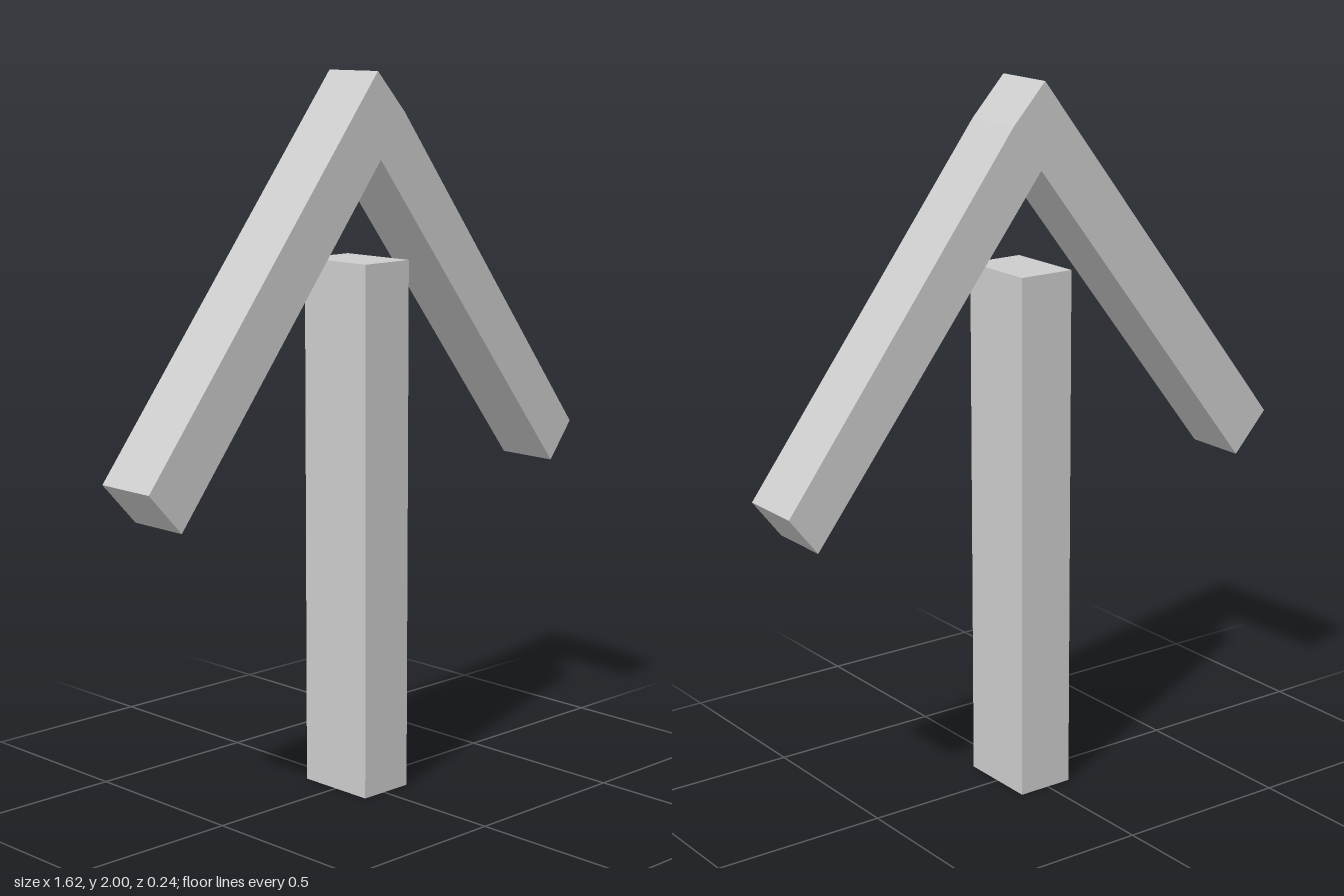
import * as THREE from 'three';

export function createModel() {
  const group = new THREE.Group();
  const material = new THREE.MeshStandardMaterial({ color: 0xcccccc, flatShading: true });

  // Upright square-edged shaft
  const shaft = new THREE.Mesh(new THREE.BoxGeometry(0.165, 1.492, 0.236), material);
  shaft.name = 'shaft';
  shaft.position.set(0.008, 0.746, 0);
  group.add(shaft);

  // Chevron head: two sloping arms meeting at the peak
  const outline = [
    [-0.004, 2], [-0.812, 0.97], [-0.706, 0.855], [0.008, 1.765],
    [0.724, 0.847], [0.808, 0.954], [0.098, 1.89],
  ].map(([x, y]) => new THREE.Vector2(x, y));
  const depth = 0.185;
  const headGeometry = new THREE.ExtrudeGeometry(new THREE.Shape(outline), { depth, bevelEnabled: false });
  headGeometry.translate(0, 0, -depth / 2);
  const head = new THREE.Mesh(headGeometry, material);
  head.name = 'arrowHead';
  group.add(head);

  return group;
}
